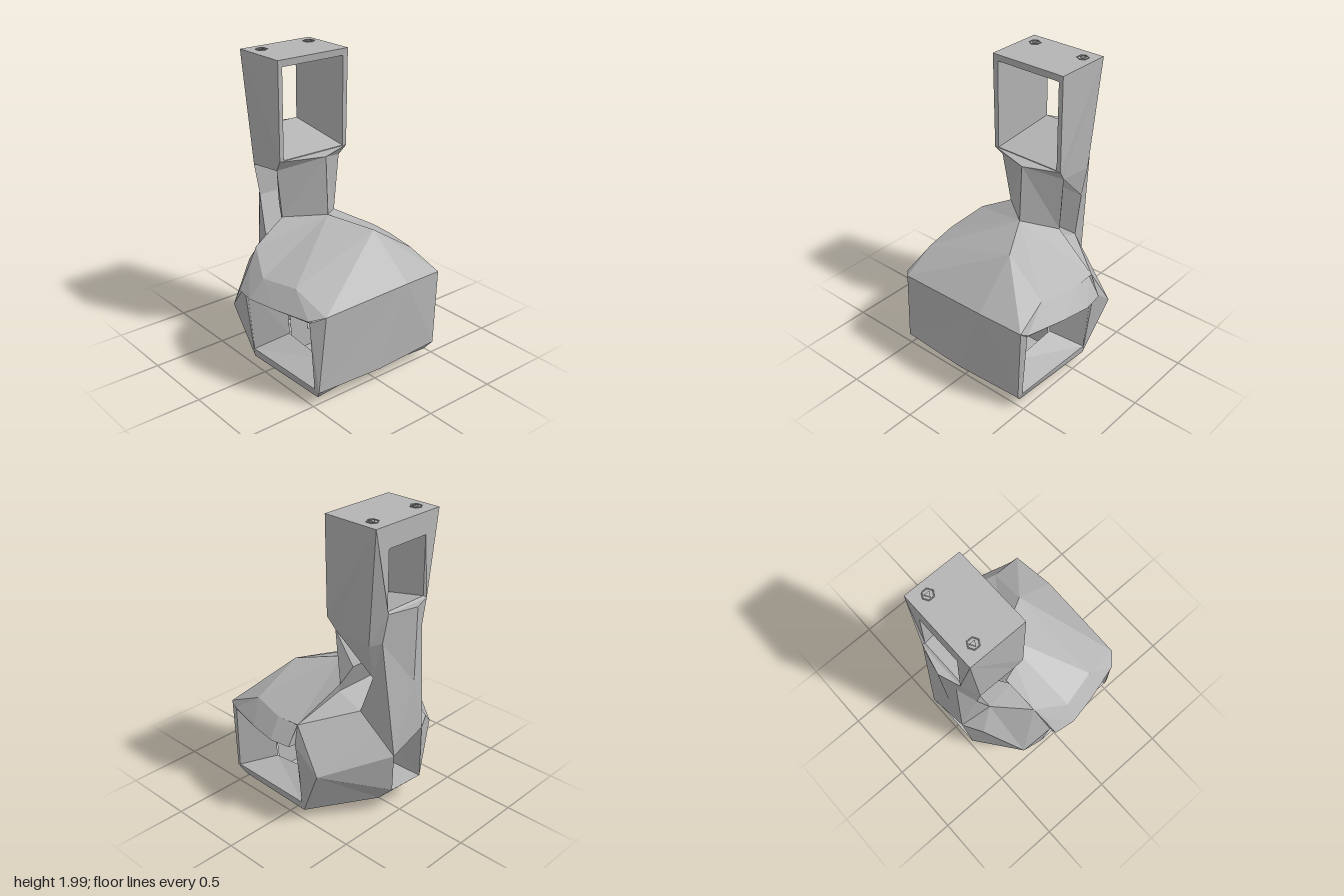
import * as THREE from 'three';

const stone = new THREE.MeshStandardMaterial({ color: 0xb4b4b4, side: THREE.DoubleSide });
stone.name = 'grey stone';

// Flat-faceted mesh from polygons, each fanned from its first corner
function facets(name, polygons) {
  const pos = [];
  for (const p of polygons)
    for (let i = 1; i < p.length - 1; i++) pos.push(...p[0], ...p[i], ...p[i + 1]);
  const g = new THREE.BufferGeometry();
  g.setAttribute('position', new THREE.Float32BufferAttribute(pos, 3));
  g.computeVertexNormals();
  const mesh = new THREE.Mesh(g, stone);
  mesh.name = name;
  return mesh;
}

// Quads between consecutive closed rings of equal length
function loft(...rings) {
  const out = [];
  for (let r = 0; r < rings.length - 1; r++) {
    const a = rings[r], b = rings[r + 1], n = a.length;
    for (let i = 0; i < n; i++) {
      const j = (i + 1) % n;
      out.push([a[i], a[j], b[j]], [a[i], b[j], b[i]]);
    }
  }
  return out;
}

// Quads between two open rows of points
function strip(a, b) {
  return a.slice(1).map((p, i) => [a[i], p, b[i + 1], b[i]]);
}

// Rectangle ring in a plane of constant x
const rectX = (x, z0, z1, y0, y1) => [[x, y1, z0], [x, y1, z1], [x, y0, z1], [x, y0, z0]];

// Quad spanning the model between a point pair and its mirror images in z
const across = (a, b) => [a, b, [b[0], b[1], -b[2]], [a[0], a[1], -a[2]]];

export function createModel() {
  const model = new THREE.Group();
  model.name = 'stone tower house';

  // Shared points on the middle of the model
  const neckFoot = [-0.01, 0.965, -0.03], neckTop = [-0.03, 1.35, -0.03];
  const apex = [0.26, 0.91, -0.18], wallTop = [0.56, 0.64, -0.2];
  const wallFoot = [0.545, 0.1, 0], keel = [-0.32, 0.01, 0], belly = [0.4, 0.01, 0];
  const backRidge = [-0.54, 0.95, 0.05], backRidgeTop = [-0.565, 1.46, 0.03];

  // Side window outline on the low outer wall
  const sideWindow = [[-0.55, 0.5, -0.13], [-0.535, 0.58, 0.15], [-0.5, 0.18, 0.19], [-0.5, 0.2, -0.08]];

  // Points of the neck opening, shared by its inner faces
  const neckHead = [-0.17, 1.28, 0.25], neckWaist = [-0.25, 1.03, 0.18], neckSide = [-0.16, 0.84, 0.21];
  const backHead = [-0.43, 1.25, 0.24], backWaist = [-0.43, 1.03, 0.2], sill = [-0.35, 0.78, 0.22];

  const walls = [], roof = [], neck = [], tower = [], portals = [];
  const inners = {};

  for (const s of [1, -1]) {
    const front = s > 0;
    const p = (x, y, z) => [x, y, s * z];
    const m = v => p(...v);
    const winTop = front ? sideWindow[1] : sideWindow[0];
    const winFoot = front ? sideWindow[2] : sideWindow[3];
    const shoulder = front ? p(-0.16, 0.82, 0.43) : p(-0.12, 0.72, 0.53);
    const hip = front ? p(-0.46, 0.58, 0.28) : p(-0.45, 0.64, 0.18);
    const bulge = front ? p(-0.31, 0.38, 0.515) : p(-0.3, 0.43, 0.55);
    const panelFoot = front ? p(-0.19, 0.95, 0.2) : p(-0.18, 0.9, 0.22);
    const panelTop = p(-0.115, 1.355, 0.265), jambTop = p(-0.12, 0.59, 0.555);
    const lipL = p(-0.12, 0.07, 0.49), lipR = p(0.53, 0.11, 0.48), lipLow = p(0.48, 0.045, 0.45);
    const corner = front ? p(0.55, 0.62, 0.44) : p(0.53, 0.62, 0.5);
    const backOuter = front ? p(-0.52, 1.3, 0.13) : p(-0.5, 1.28, 0.2);
    const towerBack = p(-0.515, 1.46, 0.17);

    // Large portal narrowing to a raised inner sill
    const portal = [p(-0.11, 0.13, 0.5), p(0.5, 0.13, 0.49), p(0.48, 0.58, 0.51), p(-0.11, 0.58, 0.54)];
    const inner = [p(0, 0.22, 0.3), p(0.33, 0.19, 0.3), p(0.36, 0.53, 0.3), p(0, 0.52, 0.3)];
    portals.push(...loft(portal, inner));
    inners[s] = inner;

    // Faceted outer walls and underside
    walls.push(
      [winTop, hip, bulge], [winTop, bulge, winFoot], [winFoot, bulge, keel],
      [keel, bulge, lipL], [bulge, lipL, jambTop], [bulge, jambTop, shoulder],
      [m(sill), shoulder, bulge], [m(sill), bulge, hip],
      [keel, lipL, lipLow, belly], [belly, lipLow, lipR, wallFoot],
      [lipL, lipLow, lipR, portal[1], portal[0]], [lipR, corner, portal[2], portal[1]],
      [lipL, jambTop, portal[3], portal[0]], [wallTop, corner, lipR, wallFoot]
    );

    // Domed roof with an overhanging curved eave
    const mid = [p(-0.11, 0.71, 0.52), p(0.05, 0.71, 0.53), p(0.3, 0.72, 0.47), corner];
    const eave = [p(-0.11, 0.59, 0.6), p(0.03, 0.59, 0.62), p(0.22, 0.59, 0.585), p(0.48, 0.59, 0.515)];
    const soffit = [-0.11, 0.03, 0.22, 0.48].map((x, i) => p(x, 0.58, 0.54 - i * 0.01));
    roof.push(
      [neckFoot, apex, mid[2]], [neckFoot, mid[2], mid[1]], [neckFoot, mid[1], shoulder],
      [shoulder, mid[1], mid[0]], [neckFoot, shoulder, panelFoot],
      [panelFoot, shoulder, m(neckSide)], [m(sill), m(neckSide), shoulder],
      [apex, wallTop, corner], [apex, corner, mid[2]],
      [shoulder, mid[0], eave[0]], [shoulder, eave[0], jambTop],
      ...strip(mid, eave), ...strip(eave, soffit)
    );

    // Neck: folded panel on one side, broad folded wall on the other
    neck.push(
      [neckTop, neckFoot, panelFoot, m(neckHead)], [neckTop, m(neckHead), panelTop],
      [m(neckHead), m(neckWaist), panelFoot], [m(neckWaist), m(neckSide), panelFoot],
      [backRidgeTop, backRidge, backOuter], [backOuter, backRidge, winTop],
      [backOuter, winTop, m(backWaist)], [winTop, hip, m(sill), m(backWaist)],
      [backOuter, m(backWaist), m(backHead)], [backOuter, m(backHead), towerBack],
      [backOuter, towerBack, backRidgeTop]
    );
    if (!front) neck.push([m(neckHead), m(backHead), m(backWaist)]);

    // Tower side walls
    tower.push(
      [p(-0.5, 1.99, 0.27), p(-0.11, 1.99, 0.27), panelTop, m(neckHead), m(backHead)],
      [p(-0.5, 1.99, 0.27), m(backHead), towerBack]
    );
  }

  // Inner faces of the neck opening and closing pieces across the middle
  neck.push(
    [backRidge, sideWindow[0], sideWindow[1]],
    across(sill, neckSide), across(neckSide, neckWaist), across(neckWaist, neckHead),
    across(sill, backWaist), across(backWaist, backHead), across(backHead, neckHead)
  );
  walls.push([sideWindow[2], sideWindow[3], keel]);
  tower.push(
    across([-0.5, 1.99, 0.27], [-0.11, 1.99, 0.27]),
    [backRidgeTop, [-0.515, 1.46, 0.17], [-0.515, 1.46, -0.17]],
    [neckTop, [-0.115, 1.355, 0.265], [-0.115, 1.355, -0.265]]
  );

  // Tower tunnel: wide on one end, a smaller window on the other
  const towerTunnel = loft(
    [[-0.11, 1.99, -0.27], [-0.11, 1.99, 0.27], [-0.115, 1.355, 0.265], [-0.115, 1.355, -0.265]],
    rectX(-0.115, -0.235, 0.235, 1.36, 1.945),
    rectX(-0.5, -0.16, 0.155, 1.47, 1.85),
    [[-0.5, 1.99, -0.27], [-0.5, 1.99, 0.27], [-0.515, 1.46, 0.17], [-0.515, 1.46, -0.17]]
  );

  // Inner room: sunken floor, far wall, ceiling, and a wall pierced by the side passage
  const f = inners[1], b = inners[-1];
  const low = (x, z) => [x, 0.08, z];
  const room = [
    [f[0], f[1], low(0.33, 0.28), low(0, 0.28)], [b[0], b[1], low(0.33, -0.28), low(0, -0.28)],
    across(low(0, 0.28), low(0.33, 0.28)),
    across(low(0.33, 0.28), f[2]), across(f[2], f[3])
  ];
  const passage = loft(
    [b[3], f[3], low(0, 0.28), low(0, -0.28)],
    rectX(0, -0.14, 0.15, 0.2, 0.47),
    sideWindow
  );

  model.add(
    facets('baseWalls', walls), facets('roof', roof), facets('portals', portals),
    facets('innerRoom', room), facets('sidePassage', passage), facets('neck', neck),
    facets('tower', tower), facets('towerTunnel', towerTunnel)
  );

  // Small hexagonal studs on the tower top
  for (const z of [-0.19, 0.18]) {
    const stud = new THREE.Group();
    stud.name = 'topStud';
    const rim = new THREE.Mesh(new THREE.TorusGeometry(0.036, 0.004, 4, 6), stone);
    rim.name = 'studRim';
    rim.rotation.x = Math.PI / 2;
    const core = new THREE.Mesh(new THREE.CylinderGeometry(0.022, 0.022, 0.008, 3).toNonIndexed(), stone);
    core.name = 'studCore';
    stud.add(rim, core);
    stud.position.set(-0.4, 1.994, z);
    model.add(stud);
  }
  return model;
}
